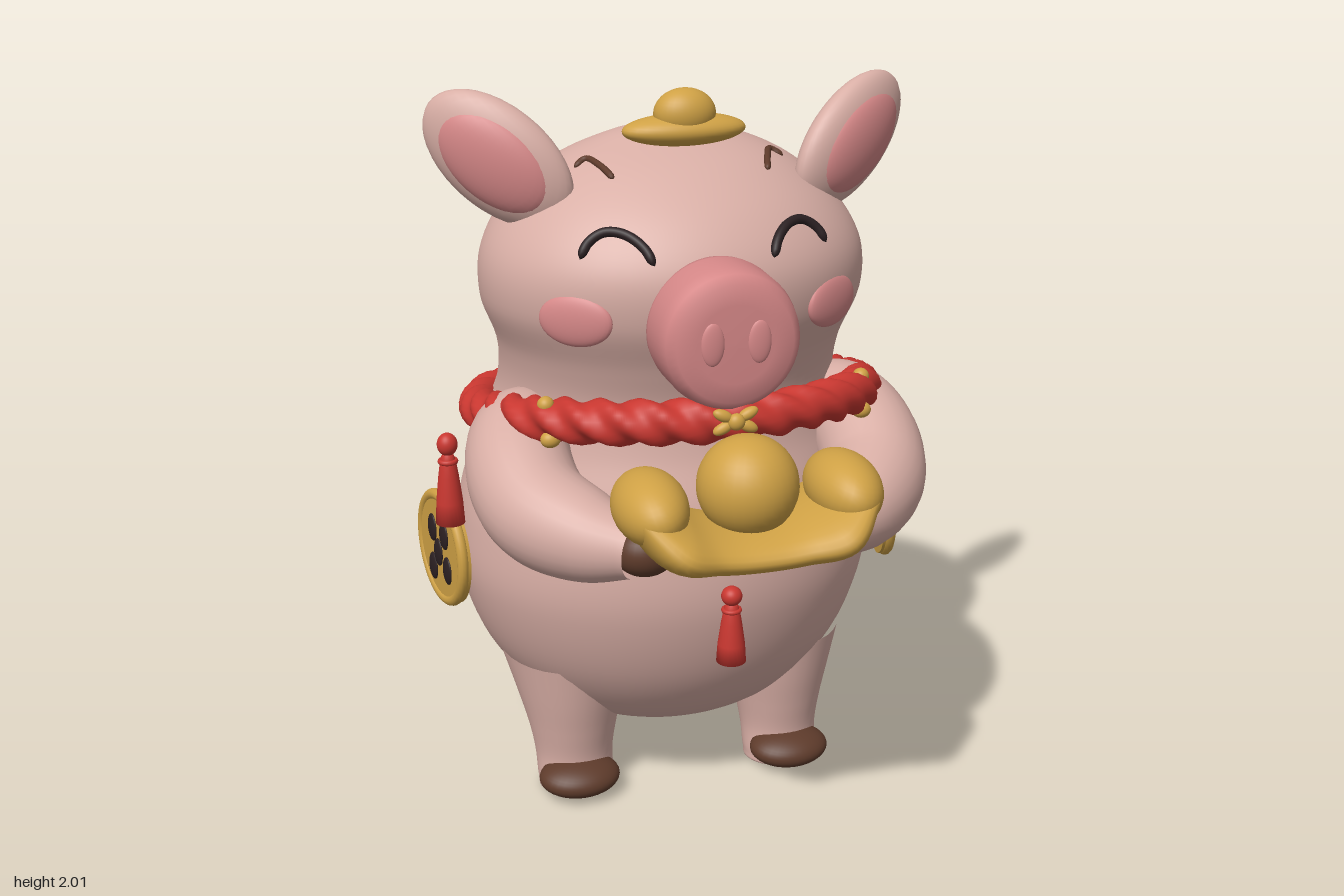
import * as THREE from 'three';
import { mergeVertices } from 'three/addons/utils/BufferGeometryUtils.js';

const V = (x, y, z) => new THREE.Vector3(x, y, z);
const material = (name, color) => Object.assign(new THREE.MeshStandardMaterial({ color }), { name });

// Weld seams so normals are smooth everywhere
function smooth(geo) {
  geo.deleteAttribute('uv');
  geo.deleteAttribute('normal');
  geo = mergeVertices(geo, 1e-5);
  geo.computeVertexNormals();
  return geo;
}

// Uniform spline through stacked elliptical sections: [y, rx, zFront, zBack]
function sections(keys) {
  const a = new THREE.CatmullRomCurve3(keys.map(k => V(k[1], k[0], 0)), false, 'catmullrom');
  const b = new THREE.CatmullRomCurve3(keys.map(k => V(k[2], k[0], k[3])), false, 'catmullrom');
  return t => {
    const p = a.getPoint(t), q = b.getPoint(t);
    return { y: p.y, rx: Math.max(0, p.x), cz: (q.x + q.z) / 2, rz: Math.max(0, (q.x - q.z) / 2) };
  };
}

function loft(at, rings = 80, n = 56) {
  const pos = [], idx = [];
  for (let i = 0; i <= rings; i++) {
    const s = at(i / rings);
    for (let j = 0; j < n; j++) {
      const a = j / n * Math.PI * 2;
      pos.push(s.rx * Math.cos(a), s.y, s.cz + s.rz * Math.sin(a));
      if (i === rings) continue;
      const p = i * n + j, q = i * n + (j + 1) % n;
      idx.push(p, p + n, q, q, p + n, q + n);
    }
  }
  const geo = new THREE.BufferGeometry();
  geo.setAttribute('position', new THREE.Float32BufferAttribute(pos, 3));
  geo.setIndex(idx);
  return smooth(geo);
}

// Tube whose radius is a function of the position along it and the angle around it
function sweep(points, radius, steps = 40, sides = 14, closed = false) {
  const curve = new THREE.CatmullRomCurve3(points, closed);
  const geo = new THREE.TubeGeometry(curve, steps, 1, sides, closed);
  const pos = geo.attributes.position, nor = geo.attributes.normal;
  for (let i = 0; i <= steps; i++) {
    const u = i / steps, c = curve.getPointAt(closed ? u % 1 : u);
    for (let j = 0; j <= sides; j++) {
      const k = i * (sides + 1) + j;
      const p = V().fromBufferAttribute(nor, k).multiplyScalar(radius(u, j / sides * Math.PI * 2)).add(c);
      pos.setXYZ(k, p.x, p.y, p.z);
    }
  }
  return smooth(geo);
}
const roundEnds = r => u => r * Math.min(1, Math.sqrt(Math.max(0, Math.sin(Math.PI * u)) * 4));
function taper(radii) {
  const c = new THREE.CatmullRomCurve3(radii.map(r => V(r, 0, 0)), false, 'catmullrom');
  return u => Math.max(0, c.getPoint(u).x);
}

export function createModel() {
  const root = new THREE.Group();
  root.name = 'pigFigurine';
  const skin = material('skin', 0xd8aea5), pink = material('rosePink', 0xd68888), gold = material('gold', 0xcfa145),
    red = material('ropeRed', 0xc93730), brown = material('hoofBrown', 0x5e3b2b), black = material('ink', 0x2b2022);

  const add = (name, geo, mat, p = [0, 0, 0], parent = root) => {
    const m = new THREE.Mesh(geo, mat);
    m.name = name;
    m.position.set(...p);
    parent.add(m);
    return m;
  };
  const ball = (name, mat, p, r, parent = root) =>
    add(name, new THREE.SphereGeometry(1, 32, 22).scale(...r), mat, p, parent);

  // Body and head in one skin
  const bodyAt = sections([
    [0.135, 0, -0.16, -0.16], [0.141, 0.085, -0.085, -0.235], [0.168, 0.205, 0.02, -0.343],
    [0.262, 0.385, 0.18, -0.505], [0.424, 0.52, 0.305, -0.63], [0.63, 0.59, 0.375, -0.692],
    [0.8, 0.587, 0.38, -0.69], [0.95, 0.55, 0.35, -0.645], [1.08, 0.505, 0.31, -0.58],
    [1.2, 0.47, 0.3, -0.51], [1.32, 0.475, 0.335, -0.48], [1.45, 0.52, 0.385, -0.485],
    [1.58, 0.513, 0.385, -0.478], [1.7, 0.44, 0.31, -0.43], [1.8, 0.315, 0.18, -0.31],
    [1.86, 0.175, 0.04, -0.19], [1.879, 0.085, -0.02, -0.14], [1.885, 0, -0.08, -0.08]]);
  add('bodyAndHead', loft(bodyAt, 110, 72), skin);

  // Point on the front of the skin
  const face = (x, y, lift = 0) => {
    let lo = 0, hi = 1;
    for (let i = 0; i < 30; i++) {
      const m = (lo + hi) / 2;
      if (bodyAt(m).y < y) lo = m; else hi = m;
    }
    const s = bodyAt(lo);
    return V(x, y, s.cz + s.rz * Math.sqrt(Math.max(0, 1 - (x / s.rx) ** 2)) + lift);
  };

  // Snout
  const profile = [[0, 0], [0.175, 0], [0.182, 0.06], [0.181, 0.15], [0.172, 0.19], [0.15, 0.211], [0.1, 0.216], [0, 0.217]];
  add('snout', new THREE.LatheGeometry(profile.map(p => new THREE.Vector2(...p)), 48).rotateX(Math.PI / 2),
    pink, [0, 1.45, 0.322]);

  const legAt = sections([
    [0, 0, 0.025, 0.025], [0.002, 0.095, 0.11, -0.055], [0.03, 0.108, 0.118, -0.065], [0.11, 0.112, 0.115, -0.1],
    [0.2, 0.128, 0.13, -0.14], [0.3, 0.155, 0.15, -0.21], [0.42, 0.19, 0.17, -0.3]]);
  const legGeo = loft(legAt, 40, 32);

  for (const s of [1, -1]) {
    const side = s > 0 ? 'left' : 'right';

    // Legs and hooves
    add(side + 'Leg', legGeo, skin, [s * 0.31, 0, 0]);
    ball(side + 'Hoof', brown, [s * 0.315, 0.062, 0.1], [0.116, 0.05, 0.086]).rotation.x = 0.15;

    // Arms reaching forward
    const arm = [[0.3, 1.12, -0.06], [0.42, 1.11, 0.04], [0.475, 1.07, 0.16], [0.46, 0.99, 0.32], [0.36, 0.955, 0.46], [0.26, 0.95, 0.56]];
    add(side + 'Arm', sweep(arm.map(p => V(s * p[0], p[1], p[2])), taper([0, 0.12, 0.14, 0.14, 0.122, 0.075]), 40, 28), skin);
    ball(side + 'Hand', brown, [s * 0.242, 0.953, 0.575], [0.08, 0.066, 0.07]);

    // Ears with pink lining
    const long = V(s * 0.7, 0.6, -0.35).normalize(), out = V(s * 0.5, -0.1, 0.85).normalize();
    const ear = new THREE.Group();
    ear.name = side + 'Ear';
    ear.position.set(s * 0.475, 1.83, 0.015);
    ear.quaternion.setFromRotationMatrix(new THREE.Matrix4().makeBasis(long, V().crossVectors(out, long), out));
    ball('earShell', skin, [0, 0, 0], [0.225, 0.142, 0.066], ear);
    ball('earLining', pink, [0, 0, 0.027], [0.172, 0.11, 0.05], ear);
    root.add(ear);

    // Closed smiling eyes, brows, cheeks and nostrils
    const stroke = (name, pts, r, mat) => add(side + name, sweep(pts.map(p => face(s * p[0], p[1], 0.004)), roundEnds(r), 28, 10), mat);
    stroke('Eye', [[0.155, 1.612], [0.175, 1.652], [0.215, 1.68], [0.26, 1.682], [0.3, 1.658], [0.325, 1.62]], 0.013, black);
    stroke('Brow', [[0.205, 1.79], [0.225, 1.812], [0.25, 1.82], [0.283, 1.802]], 0.009, brown);
    ball(side + 'Cheek', pink, face(s * 0.34, 1.465, -0.006).toArray(), [0.1, 0.068, 0.024]).rotation.y = s * 0.62;
    ball(side + 'Nostril', pink, [s * 0.06, 1.455, 0.537], [0.03, 0.055, 0.01]);

    // Hip coin with five dark spots
    const coin = new THREE.Group();
    coin.name = side + 'HipCoin';
    coin.position.set(s * 0.647, 0.742, -0.067);
    coin.rotation.y = s * 1.36;
    add('coinDisc', new THREE.CylinderGeometry(0.16, 0.16, 0.03, 48).rotateX(Math.PI / 2), gold, [0, 0, 0], coin);
    add('coinRim', new THREE.TorusGeometry(0.15, 0.016, 12, 48), gold, [0, 0, 0.005], coin);
    for (const [x, y] of [[-0.005, -0.015], [-0.045, 0.045], [0.042, 0.05], [0.058, -0.048], [-0.048, -0.072]])
      ball('coinSpot', black, [x, y, 0.016], [0.028, 0.04, 0.009], coin);
    root.add(coin);

    // Held ingot's raised ends
    ball(side + 'IngotEnd', gold, [s * 0.248, 1.095, 0.64], [0.092, 0.088, 0.15]).rotation.z = s * -0.3;

    // Gold beads on the rope and curls above the tail
    ball(side + 'UpperBead', gold, [s * 0.425, 1.255, 0.29], [0.022, 0.022, 0.022]);
    ball(side + 'LowerBead', gold, [s * 0.42, 1.17, 0.315], [0.026, 0.022, 0.022]);
    const curl = add(side + 'BackCurl', new THREE.TorusGeometry(0.028, 0.011, 10, 24, Math.PI * 1.6), gold, [s * 0.065, 0.9, -0.665]);
    curl.rotation.set(0.25, Math.PI, 0);
  }

  // Held ingot
  const boat = [[-0.29, 1.1], [-0.2, 1.02], [-0.1, 0.992], [0, 0.985], [0.1, 0.992], [0.2, 1.02], [0.29, 1.1]];
  add('ingotBoat', sweep(boat.map(p => V(p[0], p[1], 0)), taper([0.04, 0.066, 0.057, 0.055, 0.057, 0.066, 0.04]), 40, 28)
    .scale(1, 1, 2.9), gold, [0, 0, 0.655]).geometry.computeVertexNormals();
  ball('ingotBall', gold, [0, 1.125, 0.64], [0.127, 0.127, 0.127]);

  // Small ingot on the head
  ball('headIngotBase', gold, [0, 1.893, 0.075], [0.165, 0.042, 0.07]);
  ball('headIngotBall', gold, [0, 1.935, 0.08], [0.082, 0.065, 0.06]);

  // Twisted rope collar
  const half = [[0.25, 1.235, 0.42], [0.43, 1.205, 0.25], [0.5, 1.16, 0.06], [0.52, 1.115, -0.13], [0.445, 1.085, -0.35], [0.25, 1.06, -0.505]];
  const loop = [V(0, 1.24, 0.48), ...half.map(p => V(...p)), V(0, 1.052, -0.555),
    ...half.slice().reverse().map(p => V(-p[0], p[1], p[2]))];
  add('ropeCollar', sweep(loop, (u, a) => 0.054 + 0.007 * Math.cos(3 * a + 32 * Math.PI * 2 * u), 640, 20, true), red);

  // Knot at the front of the rope
  ball('knotCentre', gold, [0, 1.255, 0.545], [0.022, 0.022, 0.018]);
  for (const [x, y] of [[1, 1], [-1, 1], [1, -1], [-1, -1]])
    ball('knotPetal', gold, [x * 0.032, 1.255 + y * 0.016, 0.537], [0.028, 0.015, 0.015]).rotation.z = x * y * 0.45;

  // Tassels
  const skirt = [[0, 0], [0.037, 0], [0.034, 0.05], [0.026, 0.11], [0.019, 0.15], [0.012, 0.165], [0, 0.168]];
  const tassel = (name, p, scale) => {
    const g = new THREE.Group();
    g.name = name;
    g.position.set(...p);
    g.scale.set(1.05, scale, 1.05);
    add('tasselSkirt', new THREE.LatheGeometry(skirt.map(q => new THREE.Vector2(...q)), 24), red, [0, 0, 0], g);
    add('tasselBand', new THREE.TorusGeometry(0.02, 0.006, 8, 24).rotateX(Math.PI / 2), red, [0, 0.145, 0], g);
    ball('tasselBead', red, [0, 0.184, 0], [0.026, 0.026, 0.026], g);
    root.add(g);
  };
  tassel('frontTassel', [0, 0.59, 0.522], 1);
  tassel('sideTassel', [-0.65, 0.88, 0.092], 1.2);

  // Curly tail
  const tail = [[0, 0.73, -0.65], [0.015, 0.715, -0.72], [0.06, 0.73, -0.775], [0.095, 0.8, -0.797], [0.085, 0.868, -0.79],
    [0.035, 0.88, -0.775], [0, 0.845, -0.76], [0, 0.79, -0.75]];
  add('tail', sweep(tail.map(p => V(...p)), roundEnds(0.023), 60, 14), skin);

  return root;
}
